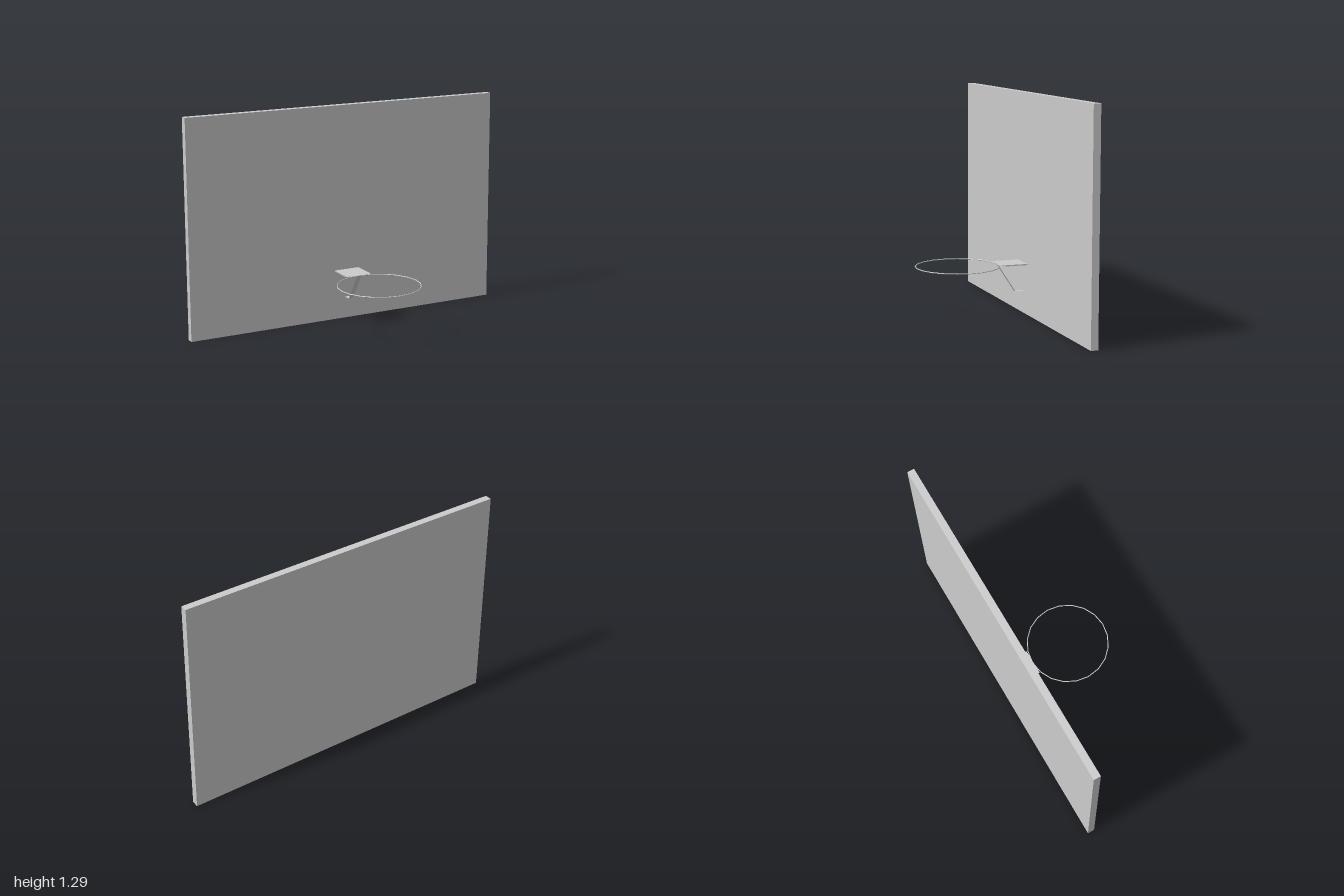
import * as THREE from 'three';

const BOARD_FRONT = -0.303, RIM_Y = 0.298;

export function createModel() {
  const group = new THREE.Group();
  const grey = new THREE.MeshStandardMaterial({ color: 0xcccccc, flatShading: true });
  const sheet = new THREE.MeshStandardMaterial({ color: 0xcccccc, flatShading: true, side: THREE.DoubleSide });

  const add = (name, geometry, material = grey) => {
    const mesh = new THREE.Mesh(geometry, material);
    mesh.name = name;
    group.add(mesh);
    return mesh;
  };

  // Backboard panel
  add('backboard', new THREE.BoxGeometry(2, 1.29, 0.042)).position.set(0, 0.645, BOARD_FRONT - 0.021);

  // Thin hoop, twenty straight segments
  const rim = add('rim', new THREE.TorusGeometry(0.243, 0.003, 6, 20));
  rim.rotation.x = -Math.PI / 2;
  rim.position.set(0, RIM_Y, 0.099);

  // Mounting plate: side profile (-z, y) with a chamfered front lip
  const profile = new THREE.Shape([
    [0.14, 0.301], [0.303, 0.301], [0.303, 0.294], [0.172, 0.294],
  ].map(([d, y]) => new THREE.Vector2(d, y)));
  const plate = new THREE.ExtrudeGeometry(profile, { depth: 0.156, bevelEnabled: false });
  plate.translate(0, 0, -0.078).rotateY(Math.PI / 2);
  add('mountingPlate', plate);

  // Bent strip brace: foot on the board, then diagonal up to the rim
  const path = [[BOARD_FRONT, 0.13], [-0.252, 0.13], [-0.142, RIM_Y]];
  const strip = new THREE.PlaneGeometry(0.028, 1, 1, path.length - 1);
  const pos = strip.attributes.position;
  for (let i = 0; i < pos.count; i++) {
    const [z, y] = path[Math.floor(i / 2)];
    pos.setXYZ(i, pos.getX(i), y, z);
  }
  strip.computeVertexNormals();
  add('brace', strip, sheet);

  return group;
}
